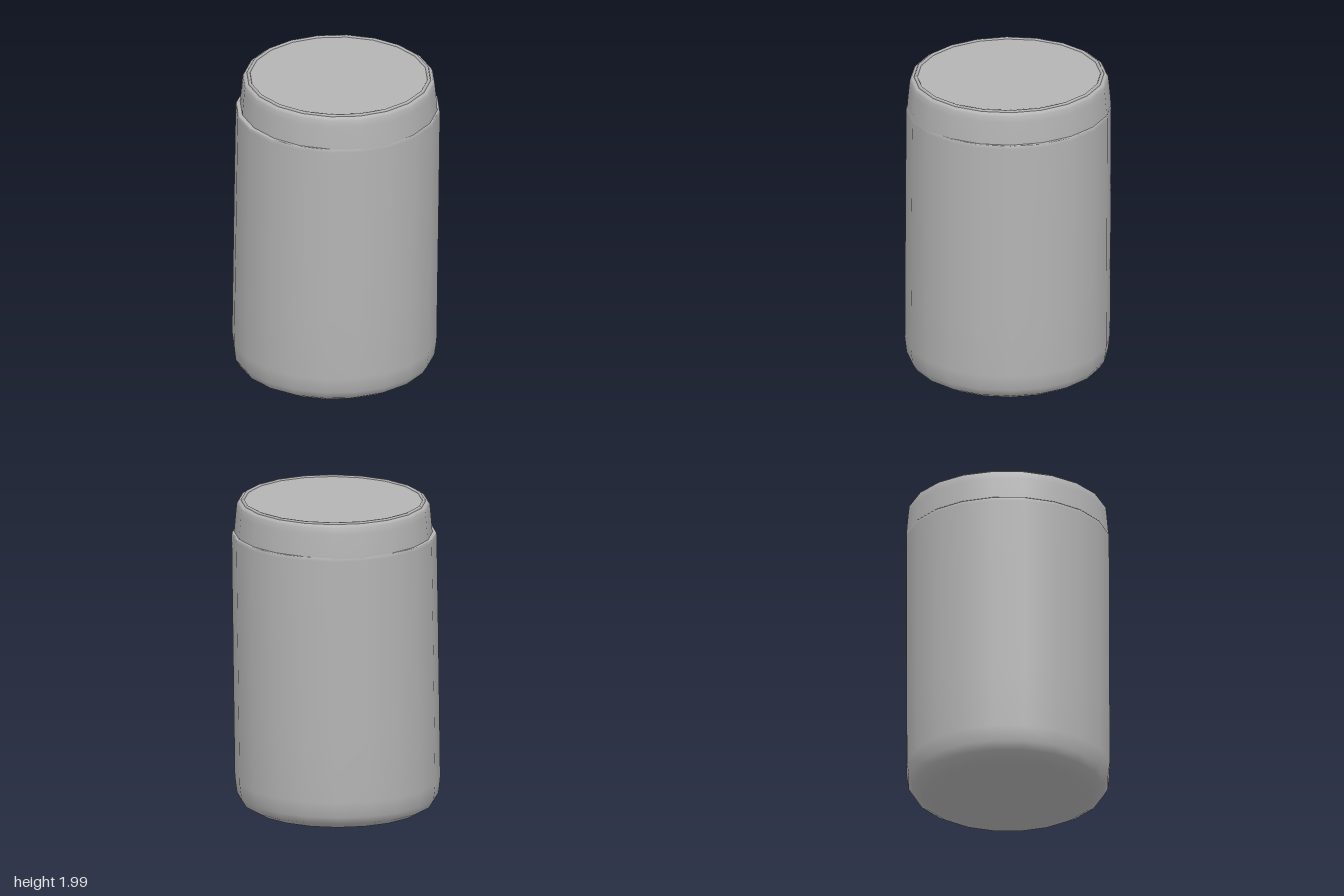
import * as THREE from 'three';

const SIDES = 20;

// Smooth turned shape; points are [radius, height] from bottom to top
function turned(points) {
  return new THREE.LatheGeometry(points.map(([r, y]) => new THREE.Vector2(r, y)), SIDES);
}

// Slides each ring sideways in proportion to its height
function lean(geometry, bottomX, topX, height) {
  const p = geometry.attributes.position;
  for (let i = 0; i < p.count; i++) {
    p.setX(i, p.getX(i) + THREE.MathUtils.lerp(bottomX, topX, p.getY(i) / height));
  }
  return geometry;
}

export function createModel() {
  const group = new THREE.Group();
  const grey = new THREE.MeshStandardMaterial({ color: 0xb4b4b4 });
  grey.name = 'grey';

  // Canister body with a rounded foot, leaning slightly to its left
  const body = new THREE.Mesh(lean(turned([
    [0, 0.025], [0.4, 0.02], [0.49, 0.005], [0.54, 0.015], [0.6, 0.05],
    [0.63, 0.1], [0.642, 0.2], [0.642, 0.6], [0.642, 1.2], [0.641, 1.76],
    [0.639, 1.78], [0.635, 1.785], [0.59, 1.786], [0, 1.786],
  ]), -0.014, 0.011, 1.78), grey);
  body.name = 'body';
  group.add(body);

  // Lid, narrower across x so the body shows a small ledge at each side
  const lid = new THREE.Mesh(turned([
    [0.64, 1.775], [0.637, 1.82], [0.627, 1.93], [0.622, 1.97],
    [0.612, 1.985], [0.59, 1.99], [0.3, 1.985], [0, 1.985],
  ]), grey);
  lid.name = 'lid';
  lid.scale.x = 0.965;
  lid.position.x = 0.017;
  group.add(lid);

  // Low raised lip around the lid top
  const lip = new THREE.Mesh(new THREE.TorusGeometry(0.585, 0.012, 6, SIDES), grey);
  lip.name = 'lidLip';
  lip.rotation.x = Math.PI / 2;
  lip.scale.x = 0.965;
  lip.position.set(0.017, 1.988, 0);
  group.add(lip);

  return group;
}
